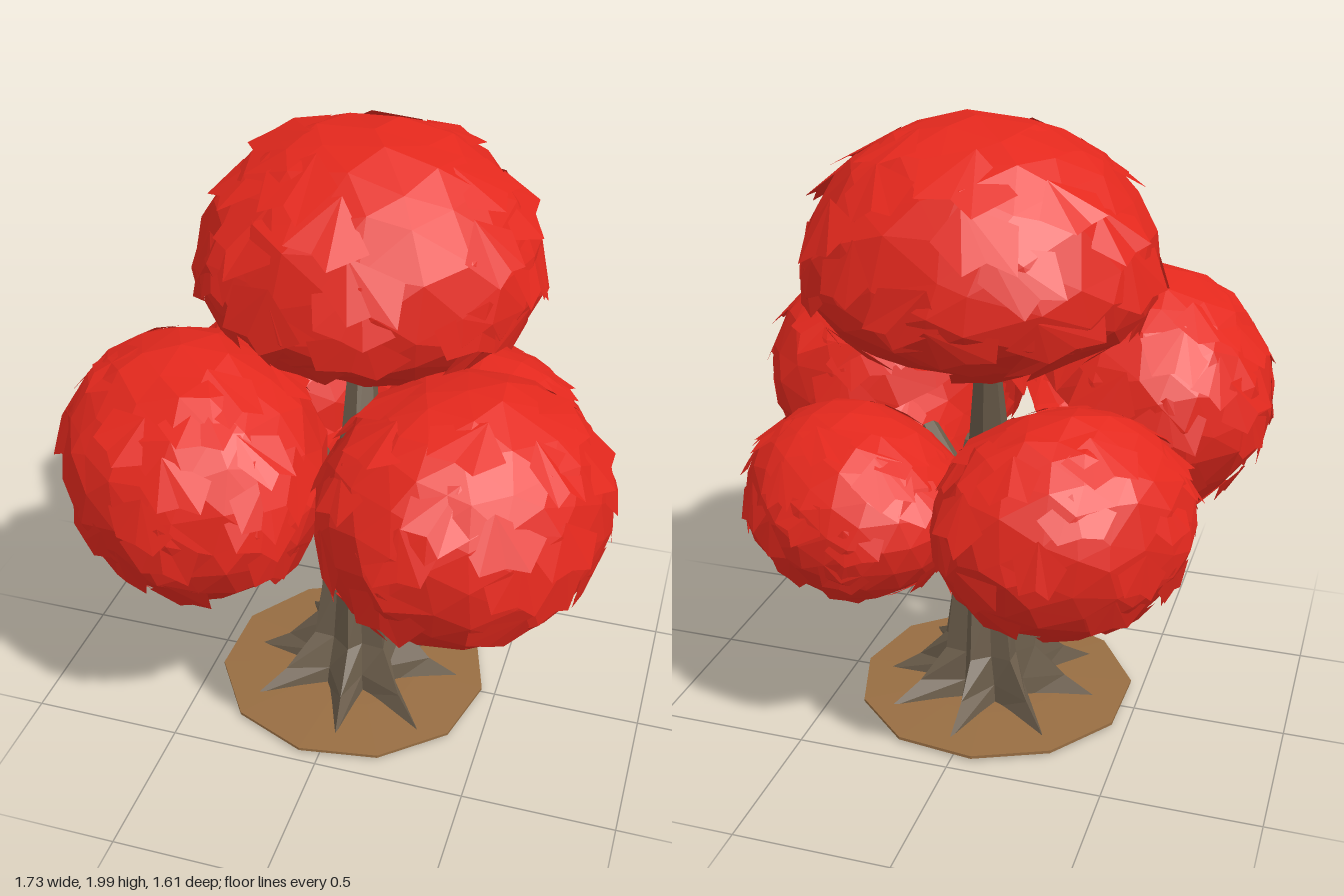
import * as THREE from 'three';

const leafRed = new THREE.MeshStandardMaterial({ color: 0xe3281d, flatShading: true, side: THREE.DoubleSide });
leafRed.name = 'leafRed';
const barkBrown = new THREE.MeshStandardMaterial({ color: 0x6b5d4b, flatShading: true });
barkBrown.name = 'barkBrown';
const soilBrown = new THREE.MeshStandardMaterial({ color: 0x976d42, flatShading: true });
soilBrown.name = 'soilBrown';

// repeatable value in 0..1 for a point
const hash = (x, y, z) => {
  const s = Math.sin(Math.round(x * 500) * 12.99 + Math.round(y * 500) * 78.23 + Math.round(z * 500) * 37.72) * 4375.85;
  return s - Math.floor(s);
};

const mesh = (name, geometry, material) => {
  const m = new THREE.Mesh(geometry, material);
  m.name = name;
  return m;
};

const soup = pos => {
  const g = new THREE.BufferGeometry();
  g.setAttribute('position', new THREE.Float32BufferAttribute(pos, 3));
  g.computeVertexNormals();
  return g;
};

// skin over a stack of rings with equal point counts, capped at the top
function skin(rings) {
  const n = rings[0].length, pos = [], top = rings[rings.length - 1];
  for (let k = 0; k < rings.length - 1; k++) {
    for (let i = 0; i < n; i++) {
      const j = (i + 1) % n, lo = rings[k], hi = rings[k + 1];
      pos.push(...lo[i], ...hi[i], ...lo[j], ...lo[j], ...hi[i], ...hi[j]);
    }
  }
  for (let i = 1; i < n - 1; i++) pos.push(...top[0], ...top[i + 1], ...top[i]);
  return soup(pos);
}

// faceted leaf ball covered with ragged overlapping flaps; its local +z points away
// from the trunk, radii run sideways, up and outward, and the trunk side is hollow
function leafClump(name, c, r, low, flaps, hollow) {
  const group = new THREE.Group();
  group.name = name;
  const seed = c[0] * 3 + c[2];
  const inward = new THREE.Vector3(0, -0.6, -1).normalize();
  const place = (d, s) => [d.x * r[0] * s, d.y * (d.y > 0 ? r[1] : low) * s, d.z * r[2] * s];

  const ball = new THREE.IcosahedronGeometry(1, 3).attributes.position;
  const shell = [];
  for (let i = 0; i < ball.count; i += 3) {
    const face = [0, 1, 2].map(j => new THREE.Vector3().fromBufferAttribute(ball, i + j).normalize());
    const middle = face[0].clone().add(face[1]).add(face[2]).normalize();
    if (middle.dot(inward) > hollow) continue;
    face.forEach(v => {
      const h = hash(v.x + seed, v.y, v.z), k = hash(v.z, v.x + seed, v.y), w = hash(v.y, v.z, v.x + seed);
      v.add(new THREE.Vector3(k - 0.5, h - 0.5, w - 0.5).multiplyScalar(0.13)).normalize();
      shell.push(...place(v, 0.955 + 0.04 * h));
    });
  }
  group.add(mesh(name + 'Ball', soup(shell), leafRed));

  const pos = [], up = new THREE.Vector3(0, 1, 0);
  for (let i = 0; i < flaps; i++) {
    const rnd = j => hash(i * 0.37 + j, seed, j * 1.7);
    const y = 0.9 - 1.82 * (i + 0.5) / flaps, a = i * 2.39996 + seed + rnd(6) * 0.8;
    const q = Math.sqrt(1 - y * y);
    const d = new THREE.Vector3(Math.cos(a) * q, y, Math.sin(a) * q);
    if (d.dot(inward) > hollow - 0.08) continue;
    const side = new THREE.Vector3().crossVectors(up, d).normalize();
    const down = new THREE.Vector3().crossVectors(side, d).normalize();
    if (down.y > 0) down.negate();
    const twist = (rnd(7) - 0.5) * 1.2;
    const u0 = side.clone().applyAxisAngle(d, twist), w0 = down.clone().applyAxisAngle(d, twist);
    const at = (u, w, s) => place(d.clone().addScaledVector(u0, u).addScaledVector(w0, w).normalize(), s);
    const wide = 0.2 + 0.12 * rnd(1), long = 0.12 + 0.16 * rnd(2);
    const out = 1.0 + 0.035 * rnd(3);
    const crest = at((rnd(4) - 0.5) * 0.15, -0.22, 0.98);
    const hem = [
      at(-wide, -0.06, 0.975),
      at(-wide * 0.6, long, out),
      at(0, long * 0.5 + 0.06, 1.005),
      at(wide * 0.5, long + 0.1 * rnd(5), out + 0.01),
      at(wide, 0, 0.975),
    ];
    for (let j = 0; j < 4; j++) pos.push(...crest, ...hem[j], ...hem[j + 1]);
  }
  group.add(mesh(name + 'Flaps', soup(pos), leafRed));
  group.position.set(...c);
  group.rotation.y = Math.atan2(c[0], c[2]);
  return group;
}

// tapered limb between two points
function branch(name, from, to, r0, r1) {
  const a = new THREE.Vector3(...from), b = new THREE.Vector3(...to);
  const dir = b.clone().sub(a);
  const m = mesh(name, new THREE.CylinderGeometry(r1, r0, dir.length(), 6), barkBrown);
  m.position.copy(a).add(b).multiplyScalar(0.5);
  m.quaternion.setFromUnitVectors(new THREE.Vector3(0, 1, 0), dir.normalize());
  return m;
}

export function createModel() {
  const tree = new THREE.Group();
  tree.name = 'tree';

  // thin, slightly domed patch of earth
  const soilRing = (s, y) => Array.from({ length: 11 }, (_, i) => {
    const a = i / 11 * Math.PI * 2, r = s * (0.45 + 0.03 * hash(i, 2, 5));
    return [Math.cos(a) * r, y, Math.sin(a) * r];
  });
  tree.add(mesh('groundPatch', skin([soilRing(0, 0), soilRing(1, 0.01), soilRing(1, 0.02), soilRing(0.5, 0.032)]), soilBrown));

  // trunk with eight flared roots: height, valley radius, ridge radius, z shift
  const sections = [
    [0.015, 0.16, 0.39, 0], [0.09, 0.145, 0.27, 0], [0.2, 0.125, 0.165, -0.02],
    [0.4, 0.105, 0.135, -0.025], [0.6, 0.095, 0.12, -0.025], [0.8, 0.1, 0.12, -0.02], [0.95, 0.06, 0.08, -0.04],
  ];
  const trunkRings = sections.map(([y, valley, ridge, z]) => Array.from({ length: 16 }, (_, i) => {
    const a = (i + 0.5 * (hash(i, 1, 3) - 0.5)) / 16 * Math.PI * 2 + y * 0.25;
    const r = i % 2 ? valley : ridge * (0.9 + 0.16 * hash(i, 4, 9));
    return [Math.cos(a) * r, y, Math.sin(a) * r + z];
  }));
  tree.add(mesh('trunk', skin(trunkRings), barkBrown));

  // limbs reaching into each clump
  for (const [s, label] of [[-1, 'Right'], [1, 'Left']]) {
    tree.add(branch('front' + label + 'Branch', [s * 0.04, 0.6, 0], [s * 0.3, 0.84, 0.23], 0.065, 0.035));
    tree.add(branch('back' + label + 'Branch', [s * 0.04, 0.57, -0.05], [s * 0.29, 0.8, -0.3], 0.065, 0.035));
  }
  tree.add(branch('topBranch', [0, 0.8, -0.03], [-0.04, 1.36, -0.19], 0.08, 0.03));

  // foliage: centre, radii, lower height, flap count, hollow limit
  tree.add(leafClump('topClump', [0, 1.535, -0.13], [0.555, 0.475, 0.52], 0.3, 50, 2));
  tree.add(leafClump('frontRightClump', [-0.415, 1.04, 0.355], [0.485, 0.415, 0.415], 0.42, 46, 0.72));
  tree.add(leafClump('frontLeftClump', [0.43, 1.025, 0.345], [0.475, 0.415, 0.42], 0.41, 46, 0.72));
  tree.add(leafClump('backRightClump', [-0.35, 0.885, -0.425], [0.41, 0.345, 0.345], 0.345, 40, 0.78));
  tree.add(leafClump('backLeftClump', [0.335, 0.84, -0.37], [0.405, 0.3, 0.335], 0.29, 40, 0.78));
  return tree;
}
